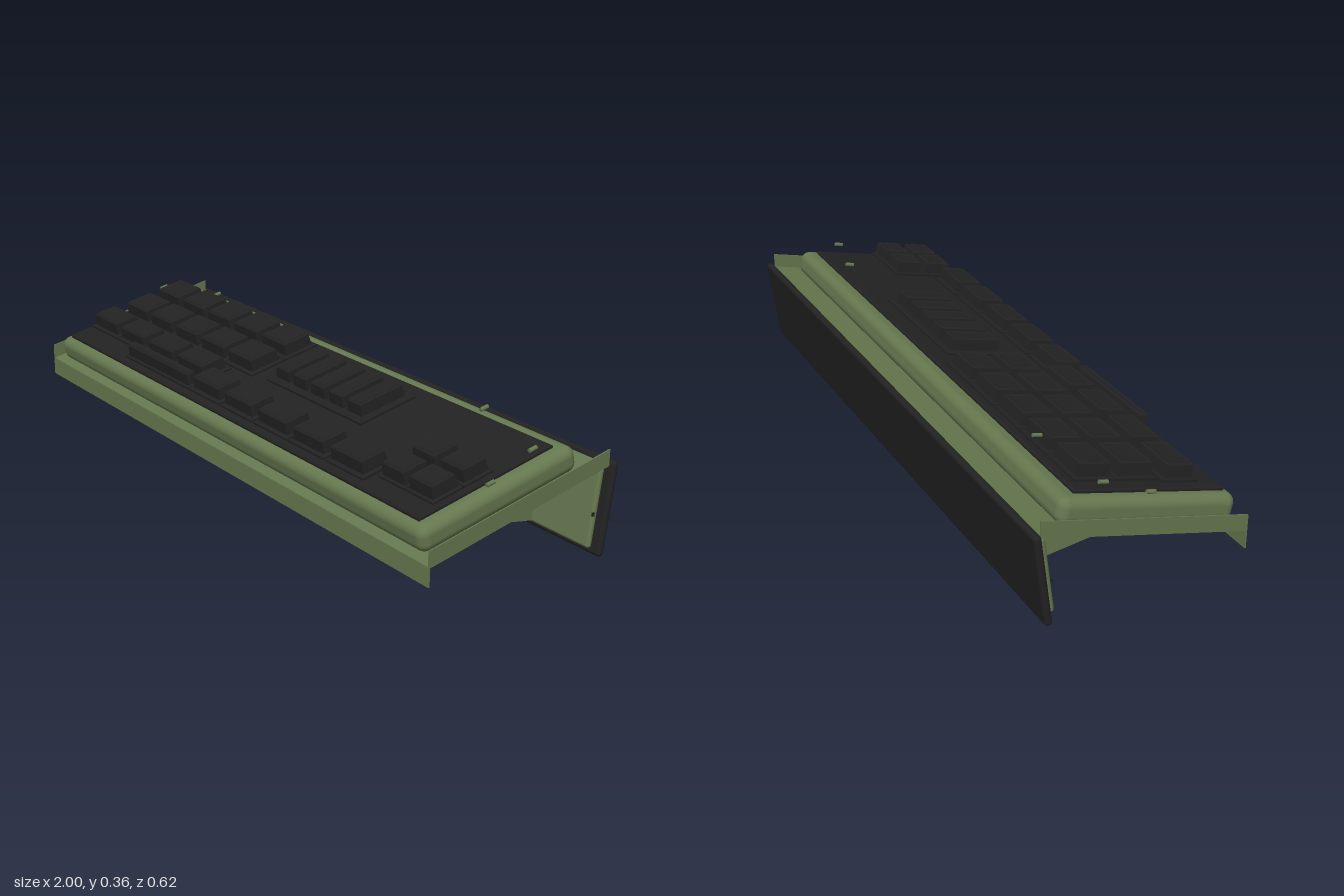
import * as THREE from 'three';
import { RoundedBoxGeometry } from 'three/addons/geometries/RoundedBoxGeometry.js';

const TILT = 0.212;

export function createModel() {
  const root = new THREE.Group();
  root.name = 'controlPanel';
  const green = new THREE.MeshStandardMaterial({ color: 0x66784f });
  green.name = 'olive green';
  const black = new THREE.MeshStandardMaterial({ color: 0x222222 });
  black.name = 'soft black';

  function add(parent, name, geometry, material, x = 0, y = 0, z = 0, rx = 0) {
    const mesh = new THREE.Mesh(geometry, material);
    mesh.name = name;
    mesh.position.set(x, y, z);
    mesh.rotation.x = rx;
    parent.add(mesh);
    return mesh;
  }

  // Side outline given as [z, y] points, extruded along x and centred on x = 0
  function sideExtrude(points, width) {
    const shape = new THREE.Shape(points.map(([z, y]) => new THREE.Vector2(-z, y)));
    const g = new THREE.ExtrudeGeometry(shape, { depth: width, bevelEnabled: false });
    return g.translate(0, 0, -width / 2).rotateY(Math.PI / 2);
  }

  // Stack of rectangles [inset, y], closed at bottom and top, with flat faces
  function loft(w, d, rings) {
    const corners = rings.map(([inset, y]) =>
      [[-1, 1], [1, 1], [1, -1], [-1, -1]].map(([sx, sz]) =>
        [sx * (w / 2 - inset), y, sz * (d / 2 - inset)]));
    const pos = [];
    const quad = (a, b, c, e) => pos.push(...a, ...b, ...c, ...a, ...c, ...e);
    for (let i = 0; i + 1 < corners.length; i++) {
      for (let k = 0; k < 4; k++) {
        const n = (k + 1) % 4;
        quad(corners[i][k], corners[i][n], corners[i + 1][n], corners[i + 1][k]);
      }
    }
    const top = corners[corners.length - 1];
    quad(top[0], top[1], top[2], top[3]);
    quad(corners[0][3], corners[0][2], corners[0][1], corners[0][0]);
    const g = new THREE.BufferGeometry();
    g.setAttribute('position', new THREE.Float32BufferAttribute(pos, 3));
    g.computeVertexNormals();
    return g;
  }

  // Sheet tray: sloping base, upright side flanges, hanging front lip
  add(root, 'trayBase', sideExtrude(
    [[0.31, 0.122], [-0.285, 0.25], [-0.285, 0.254], [0.31, 0.126]], 1.97), green);
  for (const s of [-1, 1]) {
    add(root, 'sideFlange', sideExtrude(
      [[0.311, 0.122], [-0.287, 0.25], [-0.287, 0.297], [0.311, 0.17]], 0.004),
      green, s * 0.983);
  }
  add(root, 'frontLip', new THREE.BoxGeometry(1.97, 0.054, 0.004), green, 0, 0.098, 0.309);

  // Rear stand: outer black board, inner green board, triangular braces
  add(root, 'rearBoard', new RoundedBoxGeometry(2, 0.265, 0.022, 3, 0.0105), black,
    0, 0.1325, -0.2825, -0.14);
  add(root, 'rearInnerBoard', new RoundedBoxGeometry(1.95, 0.222, 0.018, 3, 0.0085), green,
    0, 0.132, -0.261, -0.14);
  for (const s of [-1, 1]) {
    add(root, 'brace', sideExtrude([[0.245, 0.115], [-0.272, 0.237], [-0.243, 0.026]], 0.008),
      green, s * 0.756);
    add(root, 'boardPlug', new THREE.BoxGeometry(0.006, 0.01, 0.006), black,
      s * 0.976, 0.12, -0.249, -0.14);
  }

  // Everything on the slope shares one tilted frame with y = 0 on the tray
  const deck = new THREE.Group();
  deck.name = 'slopedDeck';
  deck.position.y = 0.1887;
  deck.rotation.x = TILT;
  root.add(deck);

  add(deck, 'bezel', new RoundedBoxGeometry(1.89, 0.076, 0.526, 4, 0.028), green, 0, 0.042, 0.035);
  add(deck, 'facePlate', loft(1.815, 0.45,
    [[0, 0.076], [0, 0.086], [0.004, 0.09]]), black, -0.002, 0, 0.044);

  // Key with a thin flange and a dished cap
  function key(name, x0, x1, z0, z1, flange = 0.012) {
    const g = loft(x1 - x0, z1 - z0, [
      [0, 0.095], [0, 0.101], [flange, 0.103], [flange + 0.003, 0.136],
      [flange + 0.007, 0.141], [flange + 0.015, 0.139]]);
    add(deck, name, g, black, (x0 + x1) / 2, 0, (z0 + z1) / 2);
  }
  function keyRow(name, count, x0, pitch, gap, z0, z1, flange) {
    for (let i = 0; i < count; i++) {
      key(name, x0 + i * pitch, x0 + (i + 1) * pitch - gap, z0, z1, flange);
    }
  }

  // Two rows of square keys at the rear
  keyRow('rearKey', 5, -0.875, 0.155, 0.003, -0.163, -0.043);
  keyRow('middleKey', 5, -0.875, 0.155, 0.003, -0.041, 0.082);
  // Front rows
  keyRow('frontLeftKey', 4, -0.89, 0.174, 0.006, 0.09, 0.198);
  key('wideKey', -0.57, -0.2, 0.2, 0.249, 0.007);
  keyRow('frontKey', 5, -0.195, 0.172, 0.008, 0.142, 0.249);
  // Two by two cluster
  keyRow('clusterKey', 2, 0.675, 0.112, 0.004, 0.012, 0.11, 0.008);
  keyRow('clusterKey', 2, 0.675, 0.112, 0.004, 0.113, 0.212, 0.008);
  // Narrow switches on a shared pad
  add(deck, 'switchPad', loft(0.455, 0.198,
    [[0, 0.095], [0, 0.102], [0.006, 0.104]]), black, 0.188, 0, -0.03);
  keyRow('narrowSwitch', 5, -0.028, 0.087, 0.007, -0.115, 0.053, 0.007);

  // Small pins along the rear and sides
  const pin = new THREE.CylinderGeometry(0.006, 0.006, 0.026, 8).rotateX(Math.PI / 2);
  for (const s of [-1, 1]) {
    add(deck, 'rearPin', pin, green, s * 0.665, 0.126, -0.165);
    add(deck, 'sidePin', pin, green, s * 0.915, 0.114, -0.106);
    add(deck, 'sidePin', pin, green, s * 0.915, 0.084, 0.043);
  }
  return root;
}
